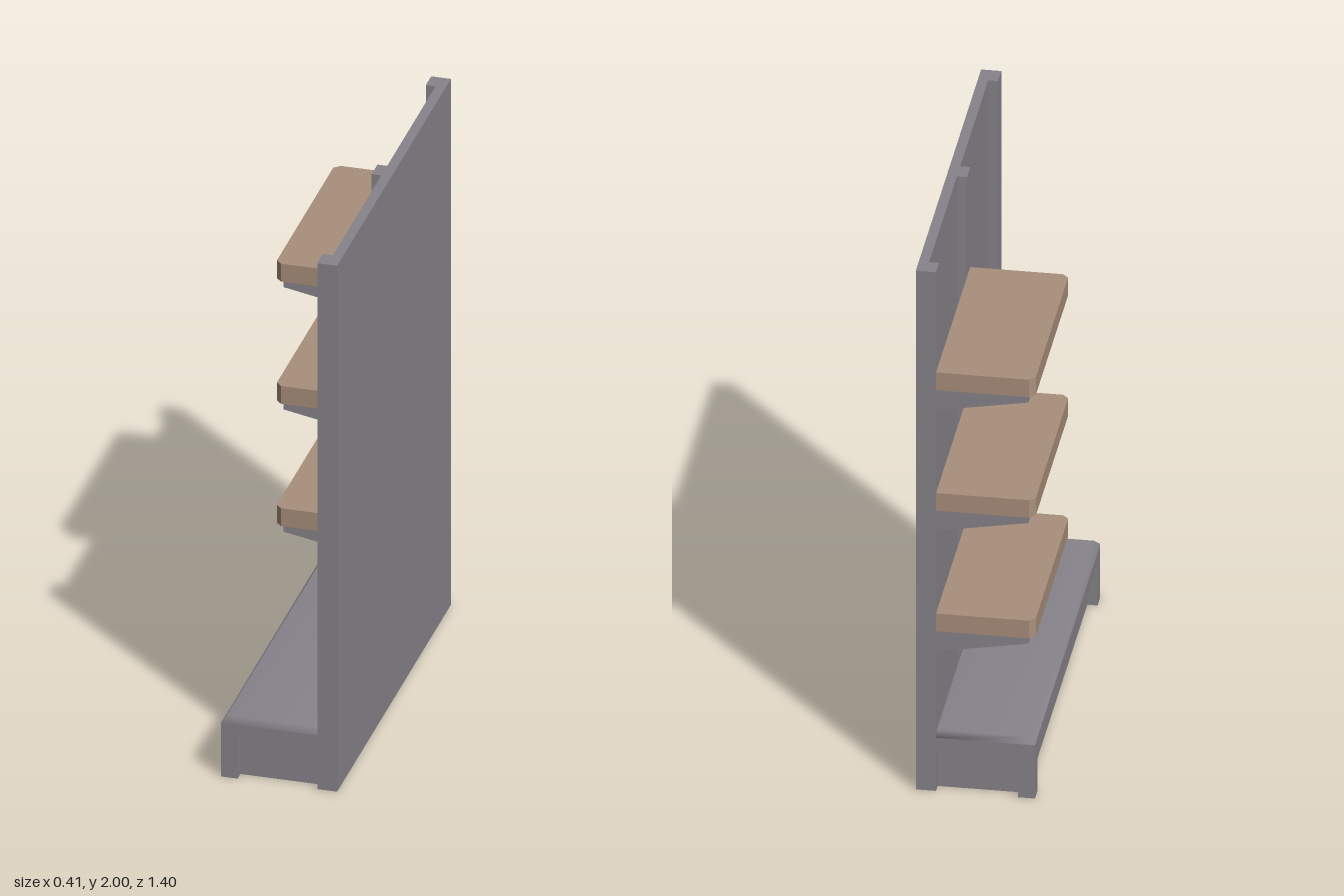
import * as THREE from 'three';

const grey = new THREE.MeshStandardMaterial({ color: 0x87838b });
grey.name = 'grey metal';
const wood = new THREE.MeshStandardMaterial({ color: 0xa98f7c });
wood.name = 'tan wood';

const BACK = 0.202, FRONT = -0.204, POST = 0.133, END = 0.7025;

// Box given by its minimum and maximum corners
function box(parent, name, [x0, y0, z0], [x1, y1, z1], material = grey) {
  const mesh = new THREE.Mesh(new THREE.BoxGeometry(x1 - x0, y1 - y0, z1 - z0), material);
  mesh.position.set((x0 + x1) / 2, (y0 + y1) / 2, (z0 + z1) / 2);
  mesh.name = name;
  parent.add(mesh);
}

function polygon(points) {
  return new THREE.Shape(points.map(([x, y]) => new THREE.Vector2(x, y)));
}

// Softly shaded bevelled cap on the base, narrowing on three sides
function capGeometry(y0, y1, bevel) {
  const ring = (y, b) => [
    FRONT + b, y, END - b, POST, y, END - b,
    POST, y, -END + b, FRONT + b, y, -END + b,
  ];
  const index = [4, 5, 6, 4, 6, 7];
  for (let i = 0; i < 4; i++) {
    const j = (i + 1) % 4;
    index.push(i, j, 4 + j, i, 4 + j, 4 + i);
  }
  const geometry = new THREE.BufferGeometry();
  geometry.setAttribute('position',
    new THREE.Float32BufferAttribute([...ring(y0, 0), ...ring(y1, bevel)], 3));
  geometry.setIndex(index);
  geometry.computeVertexNormals();
  return geometry;
}

// Board with clipped outer corners, drawn in plan and laid flat
function shelfGeometry(thickness) {
  const z0 = -END, z1 = 0.033, c = 0.02;
  const plan = polygon([
    [POST, -z1], [POST, -z0], [FRONT + c, -z0],
    [FRONT, -z0 - c], [FRONT, -z1 + c], [FRONT + c, -z1],
  ]);
  return new THREE.ExtrudeGeometry(plan, { depth: thickness, bevelEnabled: false })
    .rotateX(-Math.PI / 2);
}

// Tapered arm hanging below a shelf
function bracketGeometry(width) {
  const side = polygon([[-0.18, 0], [-0.18, -0.028], [POST, -0.085], [POST, 0]]);
  return new THREE.ExtrudeGeometry(side, { depth: width, bevelEnabled: false })
    .translate(0, 0, -width / 2);
}

export function createModel() {
  const model = new THREE.Group();
  model.name = 'shelvingUnit';

  // Back panel with three uprights
  box(model, 'backPanel', [0.167, 0, -END], [BACK, 2, END]);
  for (const [z0, z1] of [[-END, -0.636], [-0.039, 0.033], [0.632, END]]) {
    box(model, 'upright', [POST, 0, z0], [0.167, 2, z1]);
  }

  // Base: recessed body, two front legs, deck and bevelled cap
  const base = new THREE.Group();
  base.name = 'base';
  const leg = 0.058, recess = 0.035;
  box(base, 'body', [FRONT + recess, 0, -END + recess], [POST, 0.167, END - recess]);
  for (const z of [-END, END - leg]) {
    box(base, 'leg', [FRONT, 0, z], [FRONT + leg, 0.167, z + leg]);
  }
  box(base, 'deck', [FRONT, 0.167, -END], [POST, 0.205, END]);
  const cap = new THREE.Mesh(capGeometry(0.205, 0.226, 0.018), grey);
  cap.name = 'cap';
  base.add(cap);
  model.add(base);

  // Three shelves, each on a pair of brackets
  const board = shelfGeometry(0.068), arm = bracketGeometry(0.042);
  for (const y of [0.616, 1.081, 1.546]) {
    const shelf = new THREE.Group();
    shelf.name = 'shelf';
    shelf.position.y = y;
    const top = new THREE.Mesh(board, wood);
    top.name = 'shelfBoard';
    shelf.add(top);
    for (const z of [-0.668, -0.003]) {
      const bracket = new THREE.Mesh(arm, grey);
      bracket.name = 'bracket';
      bracket.position.z = z;
      shelf.add(bracket);
    }
    model.add(shelf);
  }
  return model;
}
